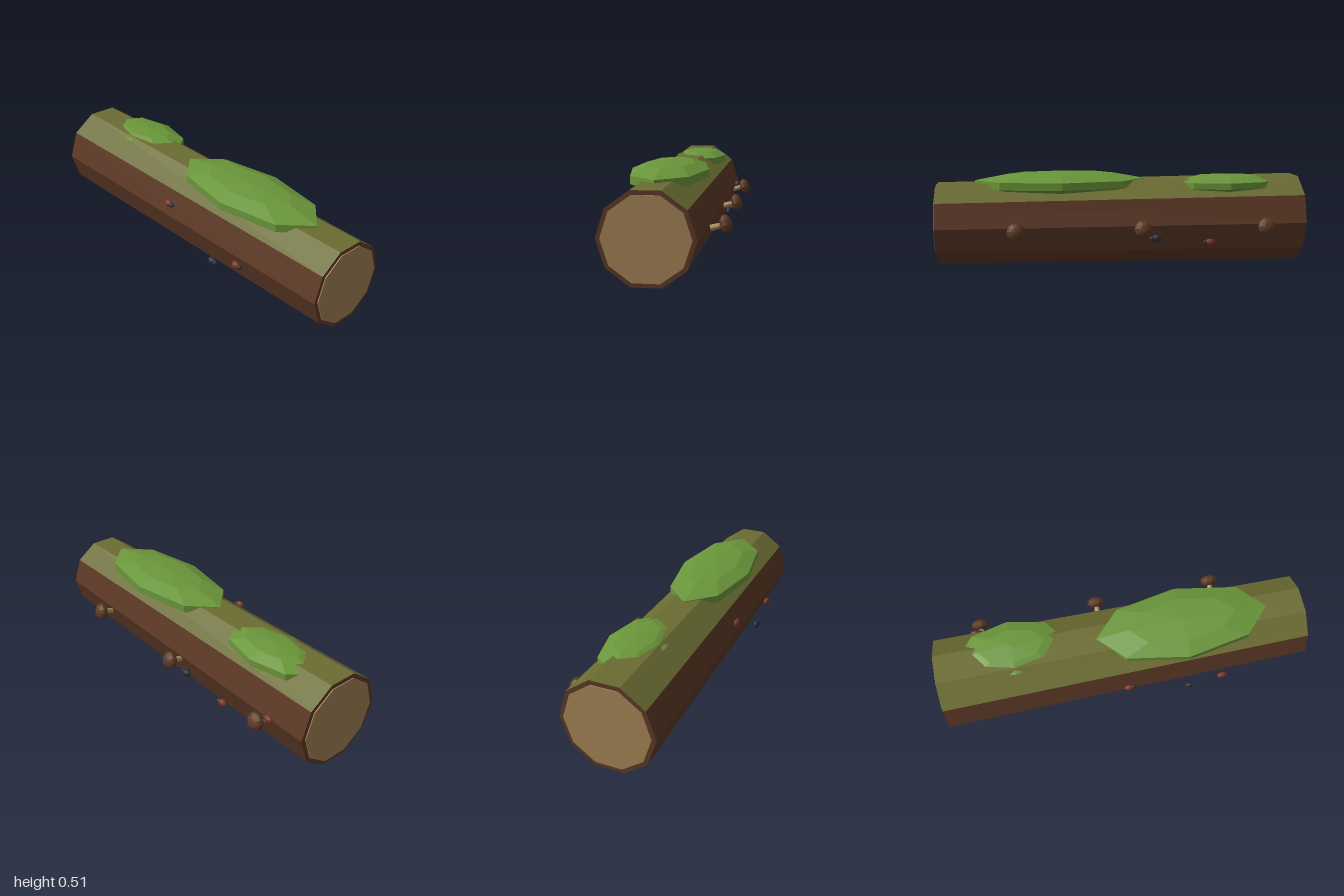
import * as THREE from 'three';

const mat = (name, color, side = THREE.FrontSide) =>
  new THREE.MeshStandardMaterial({ name, color, side, flatShading: true });

export function createModel() {
  const root = new THREE.Group();
  root.name = 'mossyLog';

  const bark = mat('bark', 0x5c3825);
  const mossyBark = mat('mossyBark', 0x6b6c31);
  const cutWood = mat('cutWood', 0xa08154);
  const moss = mat('moss', 0x6a963a);
  const capBrown = mat('mushroomCap', 0x5e3a22);
  const stemTan = mat('mushroomStem', 0xa88a5c);
  const redShell = mat('redShell', 0x7a3626);
  const darkShell = mat('darkShell', 0x2c2b3c);

  const add = (parent, name, geometry, material, x = 0, y = 0, z = 0) => {
    const mesh = new THREE.Mesh(geometry, material);
    mesh.name = name;
    mesh.position.set(x, y, z);
    parent.add(mesh);
    return mesh;
  };
  const ellipsoid = (rx, ry, rz, w, h) =>
    new THREE.SphereGeometry(1, w, h).scale(rx, ry, rz);

  // Tapered ten-sided log lying along x, its top three faces overgrown
  const CY = 0.2375, CZ = 0.033, HALF = 0.995, R_LEFT = 0.2235, R_RIGHT = 0.248;
  const log = new THREE.Group();
  log.name = 'log';
  log.position.set(0, CY, CZ);
  root.add(log);
  const step = Math.PI / 5;
  const shell = (first, count) =>
    new THREE.CylinderGeometry(R_LEFT, R_RIGHT, HALF * 2, count, 1, true, first * step, count * step)
      .rotateZ(-Math.PI / 2);
  add(log, 'barkSides', shell(9, 7), bark);
  add(log, 'mossyTop', shell(6, 3), mossyBark);

  // Cut ends: bark rim with a thin wood disc on it
  for (const [side, r] of [[1, R_LEFT], [-1, R_RIGHT]]) {
    const disc = (radius) => new THREE.CircleGeometry(radius, 10).rotateY(side * Math.PI / 2);
    add(log, 'barkRim', disc(r), bark, side * HALF);
    const wood = new THREE.CylinderGeometry(r * 0.906, r * 0.906, 0.008, 10).rotateZ(-Math.PI / 2);
    add(log, 'cutWood', wood, cutWood, side * (HALF + 0.001));
  }

  // Moss pads half sunk into the top
  add(root, 'largeMoss', ellipsoid(0.489, 0.065, 0.208, 8, 5), moss, 0.328, 0.447, 0.034);
  add(root, 'smallMoss', ellipsoid(0.295, 0.055, 0.16, 8, 5), moss, -0.583, 0.435, -0.013);

  // Mushrooms growing from the back, tilted slightly up
  for (const x of [-0.75, -0.087, 0.575]) {
    const mushroom = new THREE.Group();
    mushroom.name = 'mushroom';
    mushroom.position.set(x, 0.234, -0.272);
    mushroom.rotation.x = -Math.PI / 2 + 0.28;
    root.add(mushroom);
    add(mushroom, 'mushroomStem', new THREE.CylinderGeometry(0.0125, 0.016, 0.08, 8), stemTan, 0, -0.036, 0);
    add(mushroom, 'mushroomCap', ellipsoid(0.047, 0.03, 0.047, 10, 8), capBrown);
  }

  // Beetles on the front and back, heads towards +x
  const beetles = [
    [-0.012, 0.335, 0.291, redShell], [0.512, 0.215, 0.291, redShell], [0.335, 0.148, 0.291, darkShell],
    [-0.785, 0.242, -0.222, redShell], [-0.457, 0.145, -0.222, redShell], [-0.165, 0.172, -0.222, darkShell],
  ];
  for (const [x, y, z, material] of beetles) {
    const beetle = new THREE.Group();
    beetle.name = 'beetle';
    beetle.position.set(x, y, z);
    root.add(beetle);
    add(beetle, 'beetleBody', ellipsoid(0.028, 0.02, 0.016, 8, 6), material);
    add(beetle, 'beetleHead', ellipsoid(0.012, 0.012, 0.012, 8, 6), darkShell, 0.027, 0, 0);
  }

  return root;
}
